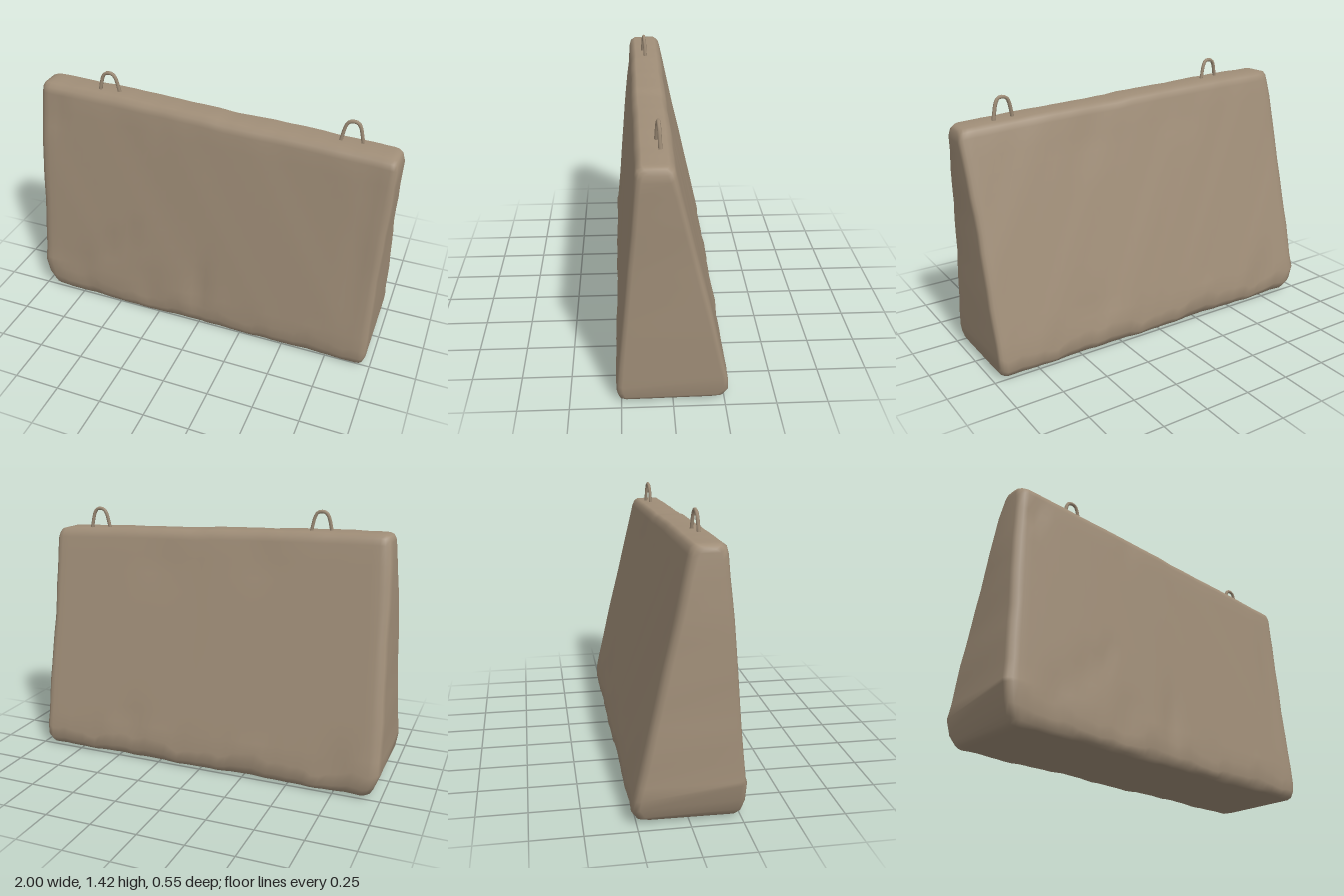
import * as THREE from 'three';

const concrete = new THREE.MeshStandardMaterial({ color: 0xa08e78 });
concrete.name = 'weatheredConcrete';

// Piecewise linear lookup in [[position, value], ...]
function sample(table, p) {
  for (let i = 1; i < table.length; i++) {
    const [a, va] = table[i - 1], [b, vb] = table[i];
    if (p <= b) return va + (vb - va) * Math.max(0, (p - a) / (b - a));
  }
  return table[table.length - 1][1];
}

// Outline of the tapering block
const leftEdge = [[0, -0.945], [0.03, -0.965], [0.13, -1], [0.2, -0.998], [0.5, -0.985], [1, -0.963], [1.32, -0.942]];
const rightEdge = [[0, 0.965], [0.05, 0.977], [0.3, 0.98], [0.8, 0.986], [1.2, 1], [1.25, 0.99]];
const topEdge = [[-1, 1.326], [-0.6, 1.316], [0, 1.293], [0.08, 1.283], [0.5, 1.272], [1, 1.247]];

// Cross-section rows: height fraction, front z, back z
const rows = [[0, 0.235, -0.2], [0.012, 0.258, -0.245], [0.038, 0.27, -0.271], [0.08, 0.273, -0.268]];
for (let i = 0; i <= 11; i++) {
  const t = i / 11, y = 0.16 + 0.8 * t;
  rows.push([y, 0.266 - 0.094 * t, -0.25 + 0.238 * t]);
}
rows.push([0.985, 0.163, -0.001], [1, 0.14, 0.02]);

// Dents: x, y, x radius, y radius, depth, front or back
const dents = [
  [0.01, 0.22, 0.05, 0.18, 0.014, 1], [-0.55, 0.36, 0.08, 0.06, 0.014, 1],
  [-0.42, 0.47, 0.04, 0.05, 0.012, 1], [-0.3, 0.17, 0.07, 0.07, 0.012, 1],
  [-0.72, 0.2, 0.08, 0.1, 0.009, 1], [-0.88, 1.17, 0.05, 0.04, 0.012, 1],
  [0.88, 0.75, 0.06, 0.4, 0.006, 1], [-0.25, 1.22, 0.06, 0.05, 0.008, 1],
  [-0.75, 0.16, 0.08, 0.07, 0.014, -1], [0.45, 0.2, 0.1, 0.1, 0.01, -1],
  [0.3, 1.1, 0.15, 0.1, 0.007, -1], [-0.3, 1.15, 0.12, 0.08, 0.007, -1],
];

function wave(x, k) {
  return Math.sin(x * 9 + k) * 0.5 + Math.sin(x * 23 + k * 2.3) * 0.3 + Math.sin(x * 47 + k * 4.1) * 0.2;
}

// Stations along the length: [fraction, inset], with rounded ends
const stations = [[0, 0.036], [0.006, 0.015], [0.017, 0.004], [0.032, 0]];
for (let i = 1; i < 46; i++) stations.push([0.032 + 0.945 * i / 46, 0]);
stations.push([0.977, 0], [0.989, 0.004], [0.996, 0.013], [1, 0.03]);

function surfacePoint(row, side, [f, inset]) {
  const xNominal = -1 + 2 * f;
  const height = sample(topEdge, xNominal);
  let y = rows[row][0] * height;
  let z = side > 0 ? rows[row][1] : rows[row][2];
  // Chipped lower edge, worn most at one front corner
  if (row > 0 && row < 4) {
    const worn = side > 0 ? 0.75 * Math.exp(-(((xNominal + 1) / 0.14) ** 2)) : 0;
    y *= 1 + Math.min(0.8, 0.2 + 0.4 * wave(xNominal, side * 2) + worn);
  }
  if (row === 0) y = 0.009 + 0.007 * wave(xNominal, side);
  if (row === rows.length - 1) y -= 0.003 * (1 + wave(xNominal, side + 3));
  // Gentle unevenness and dents on the broad faces
  z += 0.003 * wave(xNominal * 0.6, side * 3 + y * 4);
  for (const [dx, dy, rx, ry, depth, s] of dents) {
    if (s === side) z -= side * depth * Math.exp(-(((xNominal - dx) / rx) ** 2) - ((y - dy) / ry) ** 2);
  }
  const left = sample(leftEdge, y), right = sample(rightEdge, y);
  let x = left + (right - left) * f;
  if (f < 0.02 || f > 0.985) x -= Math.sign(f - 0.5) * 0.004 * (1 + wave(y, side + 2));
  z -= side * inset;
  if (row < 3) y += inset * 0.6;
  if (row > rows.length - 4) y -= inset * 0.6;
  return [x, y, z];
}

function blockGeometry() {
  const m = rows.length, n = 2 * m;
  const positions = [], index = [];
  for (const station of stations) {
    for (let j = 0; j < n; j++) {
      positions.push(...surfacePoint(j < m ? j : n - 1 - j, j < m ? 1 : -1, station));
    }
  }
  const quad = (a, b, c, d) => index.push(a, b, c, a, c, d);
  for (let s = 0; s < stations.length - 1; s++) {
    for (let j = 0; j < n; j++) {
      const k = (j + 1) % n;
      quad(s * n + j, (s + 1) * n + j, (s + 1) * n + k, s * n + k);
    }
  }
  // End faces
  const last = (stations.length - 1) * n;
  for (let i = 0; i < m - 1; i++) {
    quad(last + i, last + n - 1 - i, last + n - 2 - i, last + i + 1);
    quad(n - 1 - i, i, i + 1, n - 2 - i);
  }
  const g = new THREE.BufferGeometry();
  g.setAttribute('position', new THREE.Float32BufferAttribute(positions, 3));
  g.setIndex(index);
  g.computeVertexNormals();
  return g;
}

// Bent-bar lifting loop, sunk into the top
function liftingLoop(name, x, y, z) {
  const path = new THREE.CatmullRomCurve3([
    [-0.056, -0.02, 0.008], [-0.049, 0.02, 0.006], [-0.034, 0.08, 0.002], [-0.018, 0.099, 0],
    [0.018, 0.1, -0.001], [0.034, 0.08, -0.003], [0.049, 0.02, -0.006], [0.056, -0.02, -0.008],
  ].map(p => new THREE.Vector3(...p)));
  const loop = new THREE.Mesh(new THREE.TubeGeometry(path, 20, 0.0095, 6), concrete);
  loop.name = name;
  loop.position.set(x, y, z);
  return loop;
}

export function createModel() {
  const model = new THREE.Group();
  model.name = 'concreteBarrier';
  const block = new THREE.Mesh(blockGeometry(), concrete);
  block.name = 'barrierBlock';
  model.add(block);
  model.add(liftingLoop('rightLiftingLoop', -0.555, 1.308, 0.09));
  model.add(liftingLoop('leftLiftingLoop', 0.74, 1.262, 0.06));
  return model;
}
